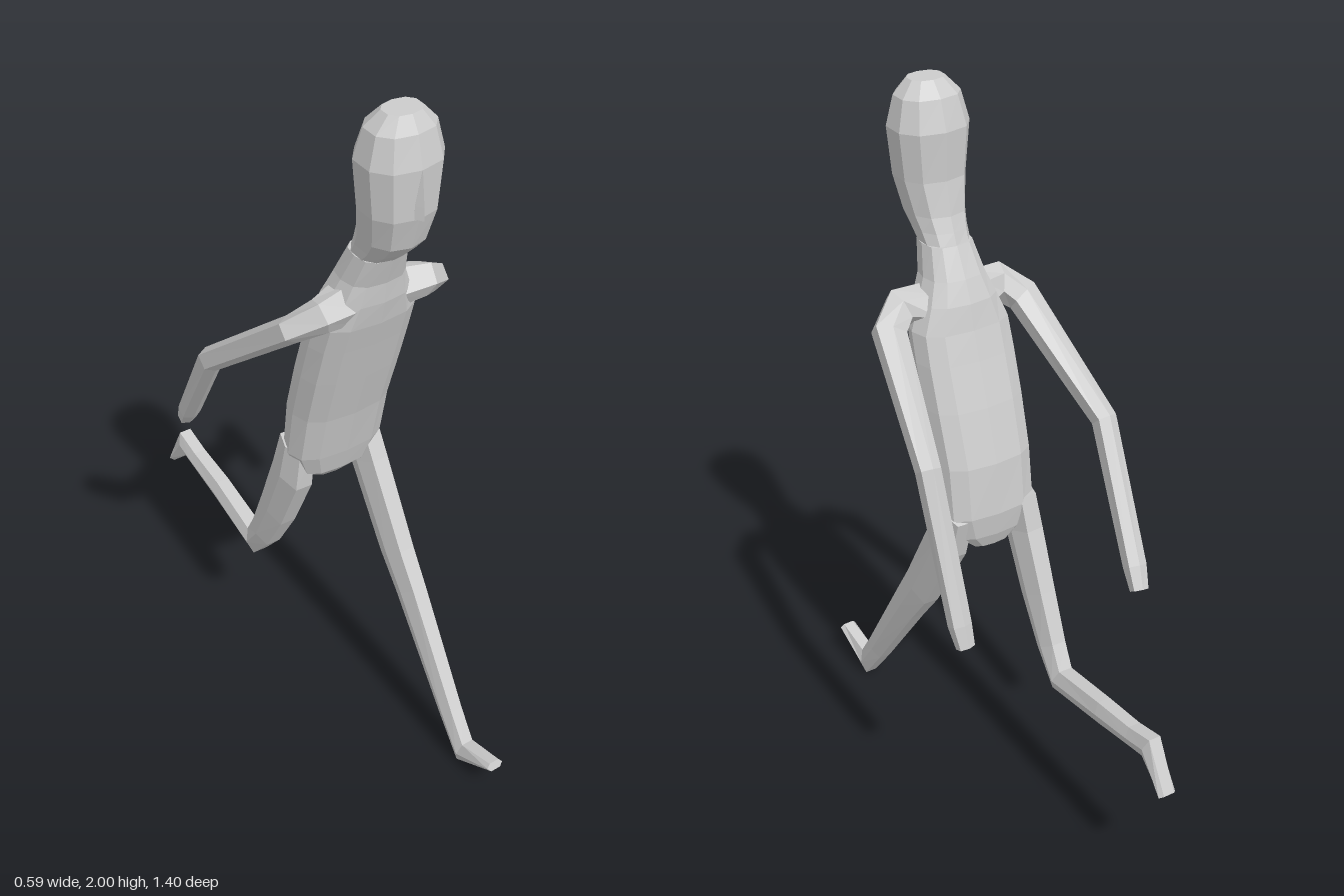
import * as THREE from 'three';

const material = new THREE.MeshStandardMaterial({ color: 0xcccccc, flatShading: true });

// Skin a list of equal-sized point rings and close both ends
function loft(name, rings) {
  const n = rings[0].length, pos = [], idx = [];
  for (const ring of rings) for (const p of ring) pos.push(p.x, p.y, p.z);
  for (let r = 0; r < rings.length - 1; r++) {
    for (let i = 0; i < n; i++) {
      const j = (i + 1) % n, a = r * n + i, b = r * n + j;
      idx.push(a, b, b + n, a, b + n, a + n);
    }
  }
  const last = (rings.length - 1) * n;
  for (let i = 1; i < n - 1; i++) {
    idx.push(0, i + 1, i, last, last + i, last + i + 1);
  }
  const indexed = new THREE.BufferGeometry();
  indexed.setAttribute('position', new THREE.Float32BufferAttribute(pos, 3));
  indexed.setIndex(idx);
  const geometry = indexed.toNonIndexed();
  geometry.computeVertexNormals();
  const mesh = new THREE.Mesh(geometry, material);
  mesh.name = name;
  return mesh;
}

// Horizontal sections: [y, half width, back z, front z, x offset]
function bodyPart(name, sections, sides, power) {
  const soft = (v) => Math.sign(v) * Math.abs(v) ** power;
  return loft(name, sections.map(([y, w, back, front, x = 0]) => {
    const ring = [];
    for (let i = 0; i < sides; i++) {
      const t = (i / sides) * Math.PI * 2;
      ring.push(new THREE.Vector3(
        x + w * soft(Math.sin(t)), y,
        (front + back) / 2 + ((front - back) / 2) * soft(Math.cos(t))));
    }
    return ring;
  }));
}

// Six-sided limb along mitred joints: [x, y, z, half width along side, half depth]
const HEX = [[1, 0], [0.6, 1], [-0.6, 1], [-1, 0], [-0.6, -1], [0.6, -1]];
function limb(name, joints, side) {
  const pts = joints.map(([x, y, z]) => new THREE.Vector3(x, y, z));
  const dir = (i) => pts[i + 1].clone().sub(pts[i]).normalize();
  return loft(name, joints.map(([, , , w, d], i) => {
    const tangent = new THREE.Vector3();
    if (i > 0) tangent.add(dir(i - 1));
    if (i < pts.length - 1) tangent.add(dir(i));
    tangent.normalize();
    const u = side.clone().addScaledVector(tangent, -side.dot(tangent)).normalize();
    const v = tangent.clone().cross(u);
    return HEX.map(([a, b]) =>
      pts[i].clone().addScaledVector(u, a * w).addScaledVector(v, b * d));
  }));
}

export function createModel() {
  const group = new THREE.Group();
  group.name = 'runningFigure';

  // Torso leaning forward, from crotch to neck
  group.add(bodyPart('torso', [
    [0.77, 0.06, 0.0, 0.07],
    [0.81, 0.11, -0.015, 0.105],
    [0.88, 0.14, -0.025, 0.125],
    [1.03, 0.14, -0.01, 0.16],
    [1.18, 0.143, 0.035, 0.205],
    [1.3, 0.143, 0.075, 0.24],
    [1.38, 0.14, 0.1, 0.265],
    [1.45, 0.11, 0.115, 0.28],
    [1.51, 0.085, 0.14, 0.285],
    [1.59, 0.068, 0.18, 0.31],
  ], 12, 0.75));

  // Long head, narrow at the chin
  group.add(bodyPart('head', [
    [1.58, 0.066, 0.18, 0.3],
    [1.62, 0.07, 0.195, 0.345],
    [1.66, 0.078, 0.21, 0.38],
    [1.75, 0.095, 0.228, 0.405],
    [1.88, 0.108, 0.225, 0.41],
    [1.96, 0.088, 0.25, 0.39],
    [2.0, 0.05, 0.285, 0.365],
  ], 10, 0.85));

  // Nose wedge
  group.add(bodyPart('nose', [
    [1.755, 0.014, 0.385, 0.425],
    [1.79, 0.013, 0.385, 0.422],
    [1.88, 0.005, 0.385, 0.411],
  ], 4, 1));

  // Arms swept back
  const armSide = new THREE.Vector3(0, 0.75, -0.65);
  group.add(limb('leftArm', [
    [0.06, 1.43, 0.2, 0.06, 0.055],
    [0.15, 1.435, 0.225, 0.045, 0.045],
    [0.205, 1.395, 0.185, 0.036, 0.042],
    [0.268, 1.15, -0.11, 0.034, 0.028],
    [0.268, 0.76, -0.255, 0.028, 0.027],
    [0.265, 0.7, -0.278, 0.02, 0.022],
  ], armSide));
  group.add(limb('rightArm', [
    [-0.06, 1.43, 0.2, 0.06, 0.055],
    [-0.15, 1.435, 0.225, 0.045, 0.045],
    [-0.205, 1.395, 0.185, 0.036, 0.042],
    [-0.268, 1.14, -0.12, 0.034, 0.028],
    [-0.225, 0.81, -0.34, 0.028, 0.027],
    [-0.217, 0.755, -0.375, 0.02, 0.022],
  ], armSide));

  // Left leg reaching forward, heel down and toe raised
  const legSide = new THREE.Vector3(1, 0, 0);
  group.add(limb('leftLeg', [
    [0.1, 0.89, 0.035, 0.04, 0.05],
    [0.105, 0.78, 0.075, 0.04, 0.062],
    [0.11, 0.54, 0.215, 0.037, 0.056],
    [0.112, 0.44, 0.285, 0.035, 0.05],
    [0.112, 0.14, 0.492, 0.03, 0.036],
    [0.113, 0.038, 0.568, 0.03, 0.04],
    [0.118, 0.095, 0.697, 0.026, 0.012],
  ], legSide));

  // Right leg trailing, knee bent and foot hanging behind
  group.add(limb('rightLeg', [
    [-0.1, 0.89, 0.035, 0.04, 0.05],
    [-0.108, 0.78, 0.02, 0.042, 0.06],
    [-0.11, 0.6, -0.055, 0.039, 0.054],
    [-0.11, 0.46, -0.125, 0.036, 0.044],
    [-0.108, 0.378, -0.185, 0.035, 0.04],
    [-0.1, 0.412, -0.4, 0.032, 0.034],
    [-0.098, 0.43, -0.54, 0.03, 0.03],
    [-0.097, 0.444, -0.612, 0.03, 0.038],
    [-0.096, 0.335, -0.692, 0.027, 0.011],
  ], legSide));

  return group;
}
